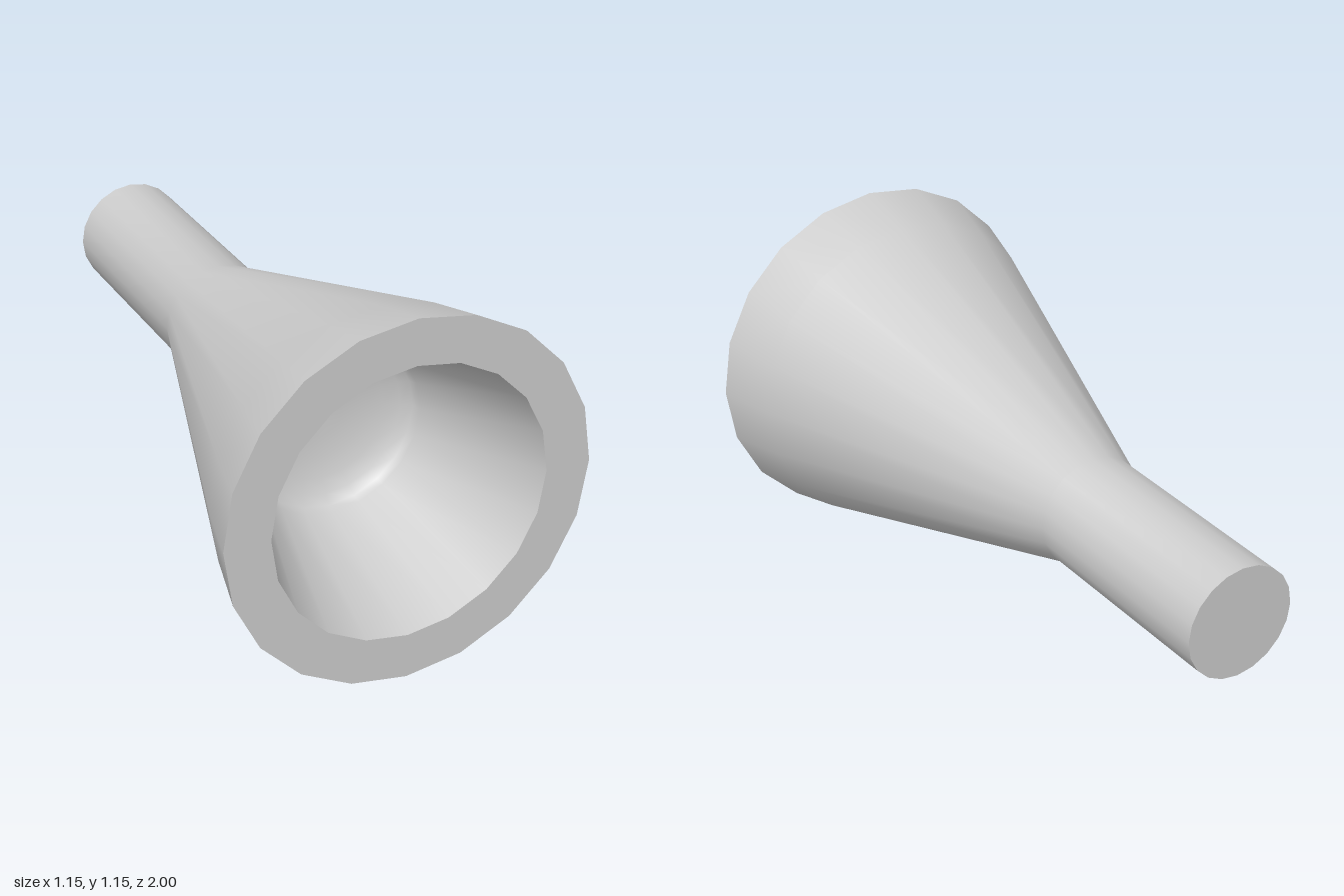
import * as THREE from 'three';

const SIDES = 20;
const AXIS_Y = 0.577;

export function createModel() {
  const model = new THREE.Group();
  model.name = 'flaredNozzle';
  const material = new THREE.MeshStandardMaterial({ color: 0xcccccc });

  // Revolve a profile of [radius, z] points about the horizontal axis.
  // Each surface is its own mesh so the edges between them stay sharp.
  function revolve(name, profile) {
    const points = profile.map(([r, z]) => new THREE.Vector2(r, z));
    const geometry = new THREE.LatheGeometry(points, SIDES);
    geometry.rotateX(Math.PI / 2);
    const mesh = new THREE.Mesh(geometry, material);
    mesh.name = name;
    mesh.position.y = AXIS_Y;
    model.add(mesh);
  }

  // Flat back end of the stem
  revolve('stemEnd', [[0, -1], [0.18, -1]]);

  // Straight stem flowing into the flared cone
  revolve('outerShell', [[0.18, -1], [0.18, -0.28], [0.523, 0.8], [0.574, 1]]);

  // Flat front rim
  revolve('rim', [[0.574, 1], [0.432, 1]]);

  // Tapered cavity wall closed by a shallow dished floor
  const cavity = [[0.432, 1], [0.285, 0.53]];
  const steps = 6;
  for (let i = 1; i <= steps; i++) {
    const a = (i / steps) * Math.PI / 2;
    cavity.push([i === steps ? 0 : 0.285 * Math.cos(a), 0.53 - 0.1 * Math.sin(a)]);
  }
  revolve('cavity', cavity);

  return model;
}
